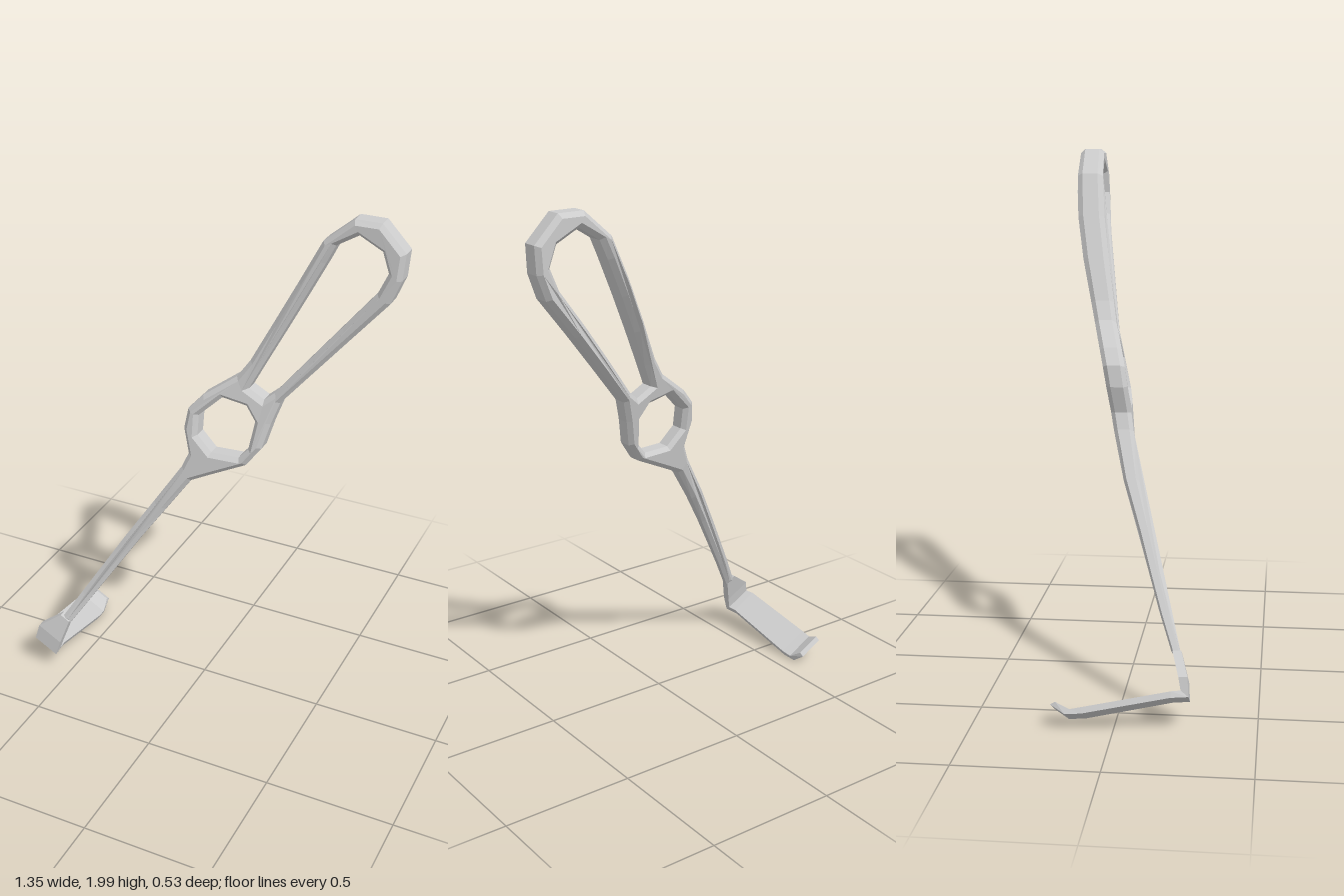
import * as THREE from 'three';

const material = new THREE.MeshStandardMaterial({ color: 0xcccccc, flatShading: true });

// Outline of shaft, ring and grip, with the two openings
const OUTLINE = [[-0.545, 0.24], [-0.505, 0.23], [-0.25, 0.63], [-0.06, 0.91], [0.01, 0.945], [0.155, 1.015],
  [0.21, 1.09], [0.235, 1.19], [0.262, 1.275], [0.63, 1.71], [0.665, 1.8], [0.672, 1.9], [0.58, 1.995], [0.48, 1.995],
  [0.37, 1.9], [0.135, 1.42], [0.088, 1.35], [-0.035, 1.26], [-0.088, 1.2], [-0.1, 1.12], [-0.075, 1.02], [-0.1, 0.96], [-0.31, 0.63]];
const RING_HOLE = [[-0.045, 1.18], [0.04, 1.262], [0.135, 1.245], [0.175, 1.19], [0.16, 1.08], [0.125, 1.04],
  [0.015, 1.04], [-0.045, 1.1]];
const GRIP_HOLE = [[0.138, 1.312], [0.2, 1.278], [0.238, 1.31], [0.58, 1.74], [0.615, 1.82], [0.588, 1.895],
  [0.5, 1.94], [0.418, 1.89], [0.385, 1.82], [0.18, 1.4]];

// Distance along the tool, depth of its centre, half thickness
const BEND = [[-1.1, 0.22, 0.016], [-0.88, 0.145, 0.018], [-0.65, 0.08, 0.022], [-0.42, 0.01, 0.03], [-0.3, -0.015, 0.036],
  [0, -0.07, 0.042], [0.2, -0.12, 0.042], [0.45, -0.17, 0.05], [0.7, -0.21, 0.053], [0.98, -0.22, 0.046]];

function bendAt(s) {
  let i = 0;
  while (i < BEND.length - 2 && s > BEND[i + 1][0]) i++;
  const [a, b] = [BEND[i], BEND[i + 1]];
  const t = THREE.MathUtils.clamp((s - a[0]) / (b[0] - a[0]), 0, 1);
  return [1, 2].map((k) => THREE.MathUtils.lerp(a[k], b[k], t));
}

// Split long edges so the outline can follow the bend
function subdivide(points, step = 0.2) {
  const result = [];
  points.forEach(([x, y], i) => {
    const [x2, y2] = points[(i + 1) % points.length];
    const n = Math.ceil(Math.hypot(x2 - x, y2 - y) / step);
    for (let k = 0; k < n; k++) result.push(new THREE.Vector2(x + (x2 - x) * k / n, y + (y2 - y) * k / n));
  });
  return result;
}

function handleGeometry() {
  const shape = new THREE.Shape(subdivide(OUTLINE));
  shape.holes = [RING_HOLE, GRIP_HOLE].map((hole) => new THREE.Path(subdivide(hole)));
  const geometry = new THREE.ExtrudeGeometry(shape, {
    depth: 0.6, bevelThickness: 0.2, bevelSize: 0.016, bevelOffset: -0.016, bevelSegments: 1,
  });
  const p = geometry.attributes.position;
  for (let i = 0; i < p.count; i++) {
    const s = (p.getX(i) - 0.06) * 0.505 + (p.getY(i) - 1.14) * 0.863;
    const [centre, half] = bendAt(s);
    p.setZ(i, centre + half * (p.getZ(i) - 0.3) / 0.5);
  }
  geometry.computeVertexNormals();
  return geometry;
}

// Blade sections: centre, half width, outward half thickness
const BLADE = [
  [[-0.525, 0.25, 0.212], 0.022, [0, 0, 0.016]],
  [[-0.585, 0.17, 0.24], 0.056, [0, 0, 0.016]],
  [[-0.6, 0.115, 0.247], 0.055, [-0.004, -0.01, 0.014]],
  [[-0.608, 0.113, 0.2], 0.056, [-0.005, -0.01, 0]],
  [[-0.62, 0.046, -0.11], 0.062, [-0.005, -0.01, 0]],
  [[-0.622, 0.04, -0.16], 0.06, [-0.004, -0.008, -0.008]],
  [[-0.62, 0.07, -0.212], 0.05, [0, -0.005, -0.009]],
];

function bladeGeometry() {
  const across = new THREE.Vector3(0.86, -0.5, 0);
  const rings = BLADE.map(([c, width, t]) => [[1, 1], [-1, 1], [-1, -1], [1, -1]].map(([u, v]) =>
    new THREE.Vector3(...c).addScaledVector(across, u * width).addScaledVector(new THREE.Vector3(...t), v)));
  const points = [];
  const quad = (a, b, c, d) => points.push(a, b, c, a, c, d);
  for (let i = 0; i < rings.length - 1; i++) {
    for (let j = 0; j < 4; j++) {
      const k = (j + 1) % 4;
      quad(rings[i][j], rings[i][k], rings[i + 1][k], rings[i + 1][j]);
    }
  }
  quad(...[...rings[0]].reverse());
  quad(...rings[rings.length - 1]);
  const geometry = new THREE.BufferGeometry().setFromPoints(points);
  geometry.computeVertexNormals();
  return geometry;
}

export function createModel() {
  const group = new THREE.Group();
  group.name = 'retractor';
  const add = (name, geometry) => {
    const mesh = new THREE.Mesh(geometry, material);
    mesh.name = name;
    group.add(mesh);
  };
  add('handleAndShaft', handleGeometry());
  add('hookedBlade', bladeGeometry());
  return group;
}
